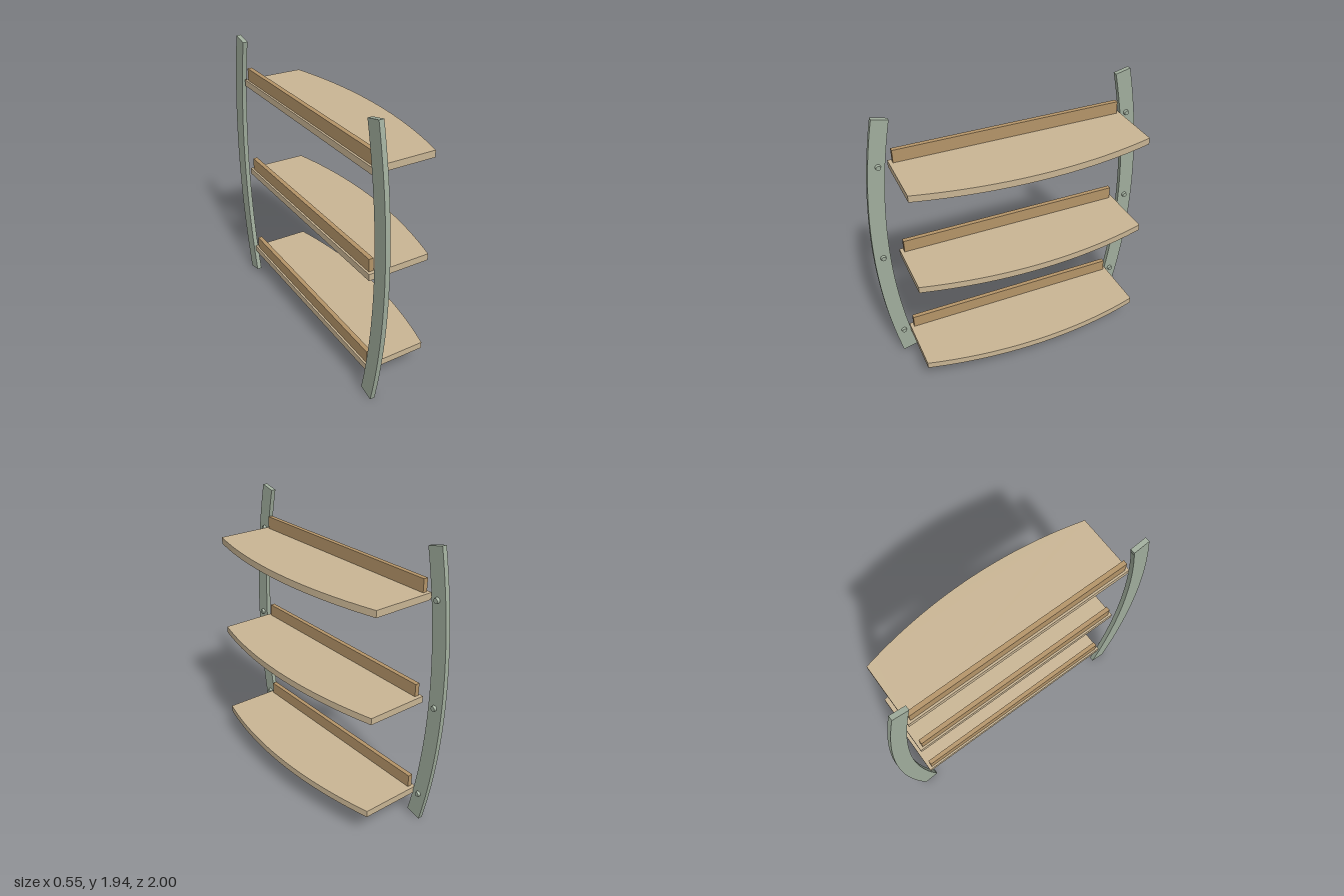
import * as THREE from 'three';

const material = (name, color) => {
  const m = new THREE.MeshStandardMaterial({ color });
  m.name = name;
  return m;
};

export function createModel() {
  const sage = material('sage paint', 0xa0ad9c);
  const paleWood = material('pale wood', 0xc9b594);
  const darkWood = material('dark wood', 0xb49468);
  const group = new THREE.Group();
  group.name = 'wallShelf';

  const add = (name, geometry, mat, x, y, z) => {
    const mesh = new THREE.Mesh(geometry, mat);
    mesh.name = name;
    mesh.position.set(x, y, z);
    group.add(mesh);
    return mesh;
  };

  // Bowed side rail: a ring segment with radial end cuts
  const outerR = 4.33, innerR = 4.22, sweep = 0.226;
  const railShape = new THREE.Shape();
  railShape.absarc(1 - outerR, 0.97, outerR, -sweep, sweep, false);
  railShape.absarc(1 - outerR, 0.97, innerR, sweep, -sweep, true);
  railShape.closePath();
  const railGeo = new THREE.ExtrudeGeometry(railShape, { depth: 0.033, bevelEnabled: false, curveSegments: 24 });
  railGeo.rotateY(Math.PI / 2); // bows toward -z
  add('backRail', railGeo, sage, -0.278, 0, 0);
  // Turning the same rail about x mirrors it to the +z side
  add('frontRail', railGeo, sage, -0.278, 1.94, 0).rotation.x = Math.PI;

  // Shelf board with a bowed outer edge
  const halfZ = 0.82, edgeR = 3.25, edgeA = Math.asin(halfZ / edgeR);
  const shelfShape = new THREE.Shape();
  shelfShape.moveTo(-0.265, halfZ);
  shelfShape.lineTo(-0.265, -halfZ);
  shelfShape.absarc(0.275 - edgeR, 0, edgeR, -edgeA, edgeA, false);
  shelfShape.closePath();
  const shelfGeo = new THREE.ExtrudeGeometry(shelfShape, { depth: 0.046, bevelEnabled: false, curveSegments: 24 });
  shelfGeo.rotateX(-Math.PI / 2);

  const ledgeGeo = new THREE.BoxGeometry(0.032, 0.088, 1.59);
  // Bolt head with a slightly rounded rim
  const boltGeo = new THREE.CylinderGeometry(0.016, 0.02, 0.018, 20);
  boltGeo.rotateZ(-Math.PI / 2);

  // Three shelves, each with an upright ledge and a pair of bolts
  const levels = [[0.179, 0.87], [0.884, 0.94], [1.589, 0.887]];
  for (const [y, boltZ] of levels) {
    add('shelf', shelfGeo, paleWood, 0, y, 0);
    add('ledge', ledgeGeo, darkWood, -0.235, y + 0.09, 0);
    for (const side of [-1, 1]) add('bolt', boltGeo, sage, -0.237, y + 0.023, side * boltZ);
  }
  return group;
}
